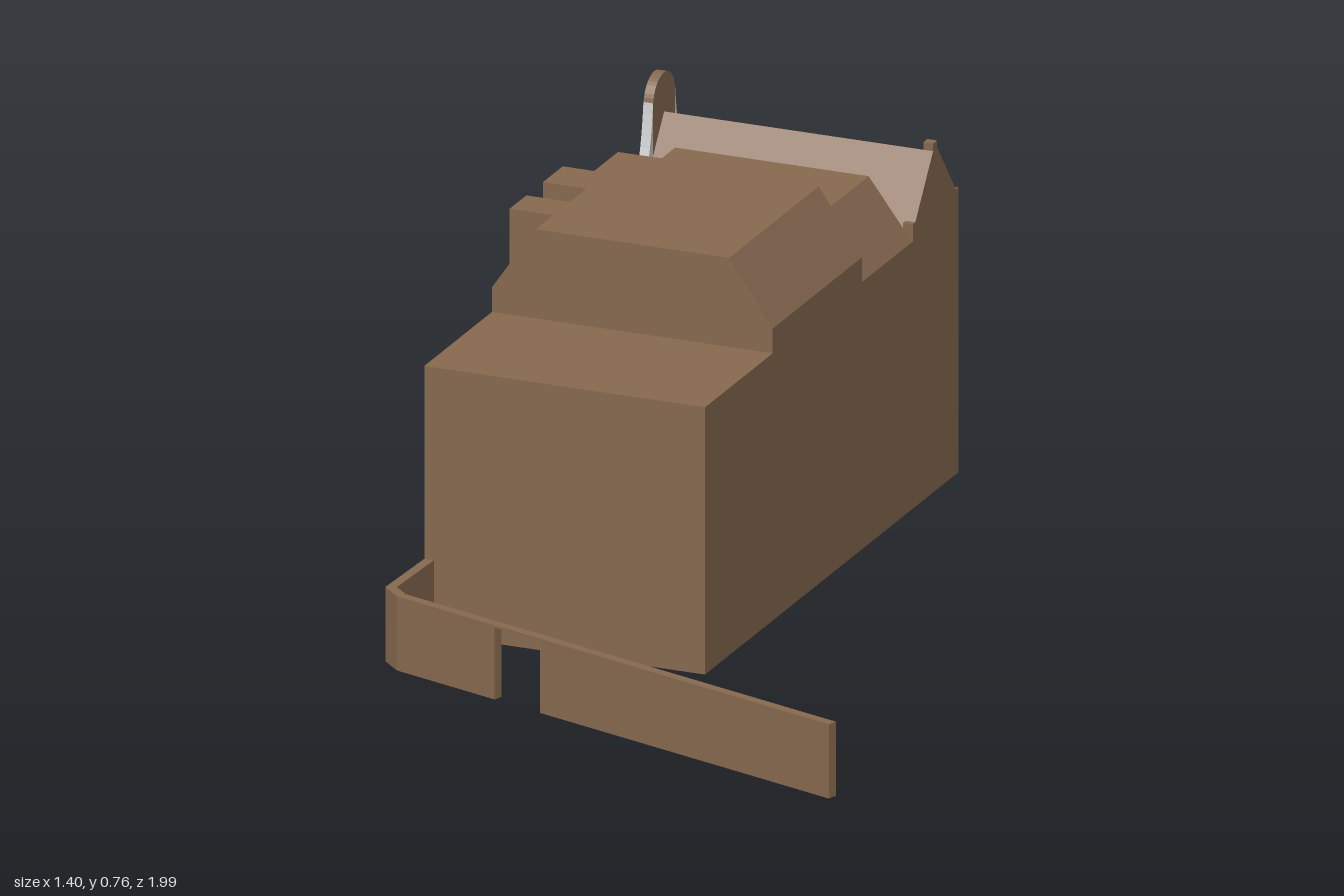
import * as THREE from 'three';

const brown = new THREE.MeshStandardMaterial({ color: 0x86684f, flatShading: true, side: THREE.DoubleSide });
const grey = new THREE.MeshStandardMaterial({ color: 0xcccccc, side: THREE.DoubleSide });

const L = 1.218, W = 0.58, H = 0.54; // house length, width, eaves height

const shapeOf = (pts) => new THREE.Shape(pts.map(([x, y]) => new THREE.Vector2(x, y)));

function extrude(name, shape, depth, material = brown) {
  const geo = new THREE.ExtrudeGeometry(shape, { depth, bevelEnabled: false, curveSegments: 10 });
  const mesh = new THREE.Mesh(geo, material);
  mesh.name = name;
  return mesh;
}

// cross-section given as [across, height], running along the house from u0 to u1
function alongHouse(name, pts, u0, u1) {
  const mesh = extrude(name, shapeOf(pts.map(([v, y]) => [-v, y])), u1 - u0);
  mesh.rotation.y = Math.PI / 2;
  mesh.position.x = u0;
  return mesh;
}

// outline given as [along, height], running across the house from v0 to v1
function acrossHouse(name, pts, v0, v1, material) {
  const shape = pts instanceof THREE.Shape ? pts : shapeOf(pts);
  const mesh = extrude(name, shape, v1 - v0, material);
  mesh.position.z = v0;
  return mesh;
}

// mansard roof whose back alternates between sloped and upright bays
function mansard(name, cuts, knee, top) {
  const group = new THREE.Group();
  group.name = name;
  const inset = 0.09;
  for (let i = 0; i < cuts.length - 1; i++) {
    const sloped = i % 2 === 0;
    const back = sloped ? [[inset, top], [0, knee]] : [[0, top]];
    const front = [[W, knee], [W - inset, top]];
    const base = knee > H ? [[0, H], [W, H]] : sloped ? [] : [[0, H]];
    group.add(alongHouse(sloped ? 'slopedBay' : 'uprightBay', [...base, ...front, ...back], cuts[i], cuts[i + 1]));
  }
  return group;
}

// strip of wall following [x, z] points, with mitred corners
function wallStrip(name, pts, y0, y1, thickness = 0.02) {
  const p = pts.map(([x, z]) => new THREE.Vector2(x, -z));
  const normal = (a, b) => new THREE.Vector2(a.y - b.y, b.x - a.x).normalize();
  const left = [], right = [];
  p.forEach((q, i) => {
    const n0 = normal(p[Math.max(i - 1, 0)], p[Math.max(i, 1)]);
    const n1 = i < p.length - 1 ? normal(q, p[i + 1]) : n0;
    const m = n0.clone().add(n1).normalize();
    m.multiplyScalar(thickness / 2 / m.dot(n0));
    left.push(q.clone().add(m));
    right.unshift(q.clone().sub(m));
  });
  const mesh = extrude(name, new THREE.Shape([...left, ...right]), y1 - y0);
  mesh.rotation.x = -Math.PI / 2;
  mesh.position.y = y0;
  return mesh;
}

export function createModel() {
  const model = new THREE.Group();
  model.name = 'houseWithYardWall';

  // house, turned 45 degrees; local x runs along it, local z across it
  const house = new THREE.Group();
  house.name = 'house';
  house.rotation.y = Math.PI / 4;
  house.position.set(-0.572, 0, -0.135);
  model.add(house);

  const body = new THREE.Mesh(new THREE.BoxGeometry(L, H, W), brown);
  body.name = 'body';
  body.position.set(L / 2, H / 2, W / 2);
  house.add(body);

  // two stepped mansard roofs
  house.add(mansard('mainRoof', [0.325, 0.41, 0.49, 0.57, 0.665, 0.755], 0.59, 0.72));
  house.add(mansard('lowerRoof', [0.755, 0.81, 0.93, 0.995], H, 0.66));

  // cross roof at the far end
  const g0 = 0.998, mid = 1.105;
  house.add(acrossHouse('crossRoof', [[g0, H], [L, H], [mid, 0.686]], 0.01, W - 0.01));

  // front gable parapet with shoulders and a small cap
  house.add(acrossHouse('frontGable', [
    [g0, H], [L, H], [L, 0.575], [L - 0.012, 0.575], [mid + 0.01, 0.69], [mid + 0.01, 0.705],
    [mid - 0.01, 0.705], [mid - 0.01, 0.69], [g0 + 0.012, 0.575], [g0, 0.575],
  ], W - 0.02, W));

  // round-topped back gable with flared grey sides
  const r = 0.053, cy = 0.712;
  const dome = new THREE.Shape();
  dome.moveTo(mid - r, H);
  dome.lineTo(mid + r, H);
  dome.lineTo(mid + r, cy);
  dome.absarc(mid, cy, r, 0, Math.PI, false);
  dome.closePath();
  house.add(acrossHouse('backGable', dome, 0, 0.02));
  for (const s of [-1, 1]) {
    const flare = new THREE.Shape();
    flare.moveTo(mid + s * r, H);
    flare.lineTo(mid + s * 0.11, H);
    flare.quadraticCurveTo(mid + s * 0.066, 0.6, mid + s * r, 0.72);
    flare.closePath();
    house.add(acrossHouse('gableFlare', flare, 0, 0.02, grey));
  }

  // yard wall with a gateway under a thin lintel
  const corner = [-0.687, 0.035], end = [-0.188, 0.994];
  const at = (t) => corner.map((c, i) => c + (end[i] - c) * t);
  const gate0 = at(0.225), gate1 = at(0.33);
  const yard = new THREE.Group();
  yard.name = 'yardWall';
  yard.add(
    wallStrip('nearWall', [[-0.563, -0.13], [-0.688, -0.014], corner, gate0], 0, 0.15),
    wallStrip('gateLintel', [gate0, gate1], 0.145, 0.15),
    wallStrip('farWall', [gate1, end], 0, 0.15),
  );
  model.add(yard);

  return model;
}
